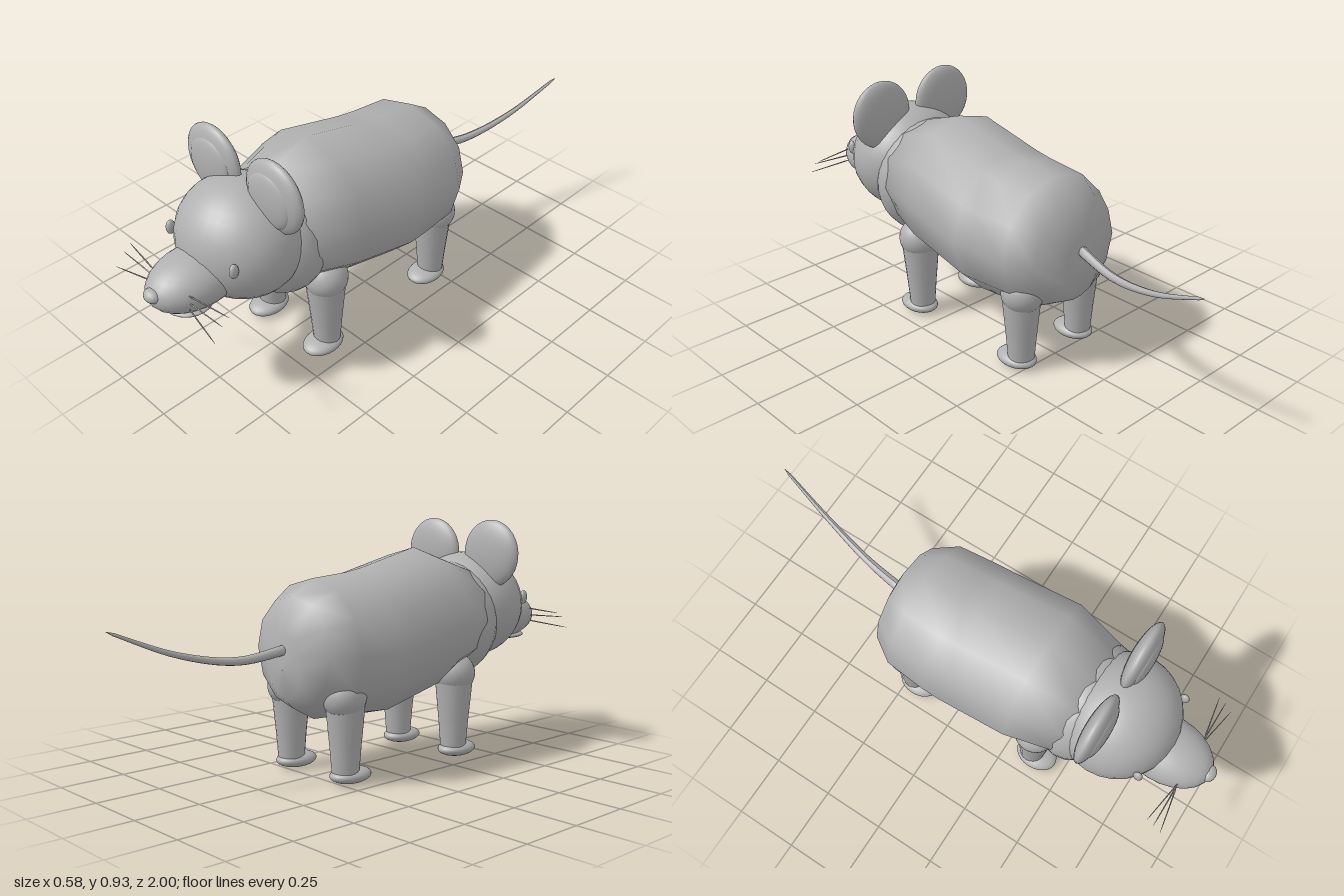
import * as THREE from 'three';

const fur = new THREE.MeshStandardMaterial({ color: 0xb0b0b0 });
fur.name = 'grey fur';

function add(parent, name, geometry) {
  const mesh = new THREE.Mesh(geometry, fur);
  mesh.name = name;
  parent.add(mesh);
  return mesh;
}

function ellipsoid(parent, name, [x, y, z], [rx, ry, rz], segments = 24) {
  const g = new THREE.SphereGeometry(1, segments, Math.round(segments * 0.7));
  g.scale(rx, ry, rz);
  g.translate(x, y, z);
  return add(parent, name, g);
}

// Closed skin over elliptical rings [z, centre y, half width, half height, lean in z]
function loft(rings, sides) {
  const pos = [], index = [];
  rings.forEach(([z, cy, rx, ry, lean = 0], i) => {
    for (let j = 0; j < sides; j++) {
      const a = (j / sides) * Math.PI * 2;
      pos.push(Math.sin(a) * rx, cy + Math.cos(a) * ry, z + Math.cos(a) * lean);
      if (i === rings.length - 1) continue;
      const p = i * sides + j, q = i * sides + (j + 1) % sides;
      index.push(p, p + sides, q, q, p + sides, q + sides);
    }
  });
  const g = new THREE.BufferGeometry();
  g.setAttribute('position', new THREE.Float32BufferAttribute(pos, 3));
  g.setIndex(index);
  g.computeVertexNormals();
  return g;
}

// Tube along a curve whose radius shrinks from r0 to r1, with rounded ends
function taperedTube(points, r0, r1, steps = 20, sides = 10) {
  const curve = new THREE.CatmullRomCurve3(points.map(p => new THREE.Vector3(...p)));
  const g = new THREE.TubeGeometry(curve, steps, 1, sides);
  const p = g.attributes.position, v = new THREE.Vector3();
  for (let i = 0; i < p.count; i++) {
    const t = Math.floor(i / (sides + 1)) / steps;
    const c = curve.getPointAt(t);
    const r = t === 0 || t === 1 ? 0.0005 : r0 + (r1 - r0) * t;
    v.fromBufferAttribute(p, i).sub(c).multiplyScalar(r).add(c);
    p.setXYZ(i, v.x, v.y, v.z);
  }
  g.computeVertexNormals();
  return g;
}

function addLeg(parent, name, side, z, ballY, ballZ, footZ) {
  const leg = new THREE.Group();
  leg.name = name;
  const x = side * 0.154;
  ellipsoid(leg, 'shoulderJoint', [x + side * 0.002, ballY, ballZ], [0.082, 0.08, 0.082]);
  const upper = new THREE.CylinderGeometry(0.076, 0.058, 0.19, 20);
  add(leg, 'upperLeg', upper).position.set(x, 0.235, z);
  const lower = new THREE.CylinderGeometry(0.058, 0.05, 0.1, 20);
  add(leg, 'lowerLeg', lower).position.set(x, 0.09, z);
  ellipsoid(leg, 'foot', [x, 0.034, footZ], [0.064, 0.03, 0.086]);
  parent.add(leg);
}

export function createModel() {
  const model = new THREE.Group();
  model.name = 'mouse';

  // Trunk, tail end to shoulders
  add(model, 'body', loft([
    [-0.385, 0.42, 0.0005, 0.0005],
    [-0.375, 0.43, 0.09, 0.12],
    [-0.335, 0.478, 0.205, 0.205],
    [-0.24, 0.48, 0.268, 0.26],
    [-0.08, 0.482, 0.283, 0.27],
    [0, 0.485, 0.285, 0.28],
    [0.28, 0.55, 0.284, 0.28],
    [0.455, 0.545, 0.238, 0.215, 0.035],
    [0.49, 0.54, 0.0005, 0.0005],
  ], 12));
  ellipsoid(model, 'neck', [0, 0.53, 0.47], [0.238, 0.235, 0.17]);

  // Head
  const head = new THREE.Group();
  head.name = 'head';
  model.add(head);
  ellipsoid(head, 'skull', [0, 0.582, 0.6], [0.236, 0.218, 0.22], 28);
  ellipsoid(head, 'muzzle', [0, 0.518, 0.8], [0.126, 0.098, 0.185]);
  ellipsoid(head, 'nose', [0, 0.535, 0.973], [0.034, 0.024, 0.027], 16);
  ellipsoid(head, 'mouth', [0, 0.434, 0.84], [0.088, 0.018, 0.085]);

  for (const side of [-1, 1]) {
    const label = side > 0 ? 'left' : 'right';
    ellipsoid(head, label + 'Ear', [side * 0.155, 0.799, 0.567], [0.135, 0.135, 0.04]);
    ellipsoid(head, label + 'InnerEar', [side * 0.151, 0.792, 0.588], [0.102, 0.104, 0.027]);
    ellipsoid(head, label + 'Eye', [side * 0.168, 0.611, 0.765], [0.013, 0.028, 0.018], 14);

    // Whiskers fan out in three from each cheek
    [[0.547, 0.543, 0.9, 0.87], [0.517, 0.525, 0.9, 0.9], [0.495, 0.477, 0.9, 0.935]]
      .forEach(([y0, y1, z0, z1], i) => add(head, label + 'Whisker' + (i + 1), taperedTube([
        [side * 0.085, y0, z0], [side * 0.175, (y0 + y1) / 2, (z0 + z1) / 2], [side * 0.268, y1, z1],
      ], 0.003, 0.0015, 6, 6)));

    addLeg(model, label + 'FrontLeg', side, 0.355, 0.34, 0.355, 0.376);
    addLeg(model, label + 'BackLeg', side, -0.222, 0.325, -0.23, -0.198);
  }

  // Tail
  add(model, 'tail', taperedTube([
    [0, 0.495, -0.35], [0.04, 0.467, -0.55], [0.087, 0.505, -0.76], [0.14, 0.603, -1],
  ], 0.02, 0.005, 24));

  return model;
}
